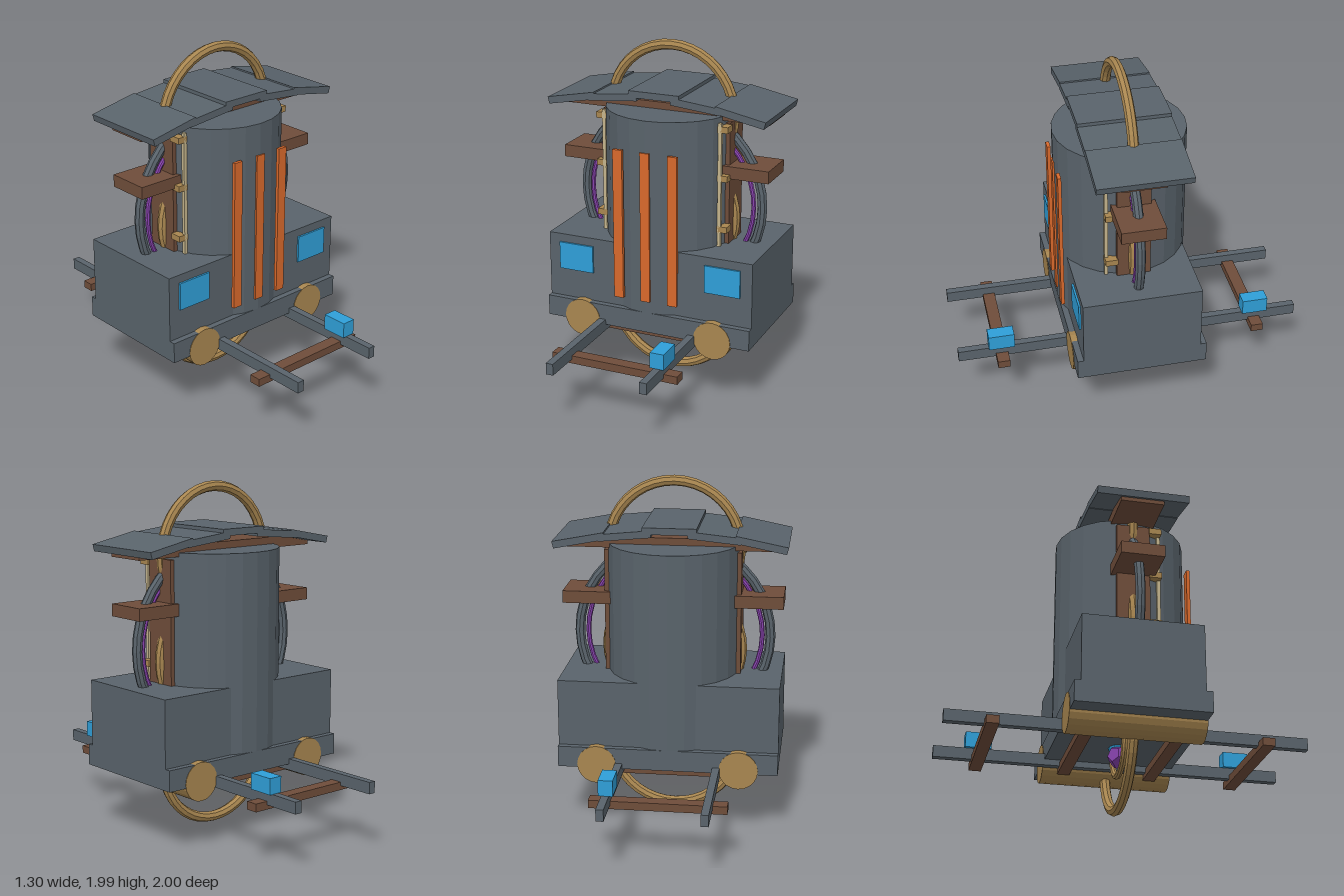
import * as THREE from 'three';

const material = (color) => new THREE.MeshStandardMaterial({ color, flatShading: true });

export function createModel() {
  const model = new THREE.Group();
  const grey = material(0x59636b), tan = material(0xa88650), brown = material(0x6f4d3a);
  const orange = material(0xd9692c), blue = material(0x2f9fd8), purple = material(0x8a44b0);
  const beige = material(0xc4b48c);

  const add = (name, geometry, mat, x = 0, y = 0, z = 0) => {
    const mesh = new THREE.Mesh(geometry, mat);
    mesh.name = name;
    mesh.position.set(x, y, z);
    model.add(mesh);
    return mesh;
  };
  const box = (name, mat, w, h, d, x, y, z) =>
    add(name, new THREE.BoxGeometry(w, h, d), mat, x, y, z);
  const ring = (name, mat, radius, tube, y, z = 0) =>
    add(name, new THREE.TorusGeometry(radius, tube, 8, 40), mat, 0, y, z);

  // Body: plinth, main block and drum
  box('plinth', grey, 1.24, 0.12, 0.74, 0, 0.44, 0);
  box('mainBlock', grey, 1.24, 0.38, 0.67, 0, 0.69, 0);
  add('drum', new THREE.CylinderGeometry(0.373, 0.373, 1.12, 24), grey, 0, 1.06, 0);

  // Front trim on the drum
  for (const x of [-0.163, 0, 0.163]) box('frontStrip', orange, 0.056, 0.87, 0.02, x, 1.005, 0.37);

  // Rings standing in the middle plane
  ring('topRing', tan, 0.37, 0.03, 1.59);
  ring('middleRing', tan, 0.385, 0.03, 1.0);
  ring('bottomRing', tan, 0.37, 0.03, 0.405);
  ring('smallRing', tan, 0.155, 0.018, 0.38);
  ring('sideRing', grey, 0.547, 0.028, 1.08);
  ring('innerSideRing', purple, 0.5, 0.014, 1.08, 0.012);

  // Mirrored side parts
  for (const s of [-1, 1]) {
    box('window', blue, 0.21, 0.16, 0.02, s * 0.447, 0.752, 0.336);
    box('sidePanel', brown, 0.03, 0.72, 0.19, s * 0.37, 1.22, 0);
    box('sideShelf', brown, 0.28, 0.07, 0.245, s * 0.482, 1.306, 0);
    box('sideRod', beige, 0.02, 0.74, 0.02, s * 0.35, 1.22, 0.15);
    for (const y of [0.98, 1.277, 1.555]) box('bracket', tan, 0.06, 0.035, 0.07, s * 0.367, y, 0.125);

    const log = add('log', new THREE.CylinderGeometry(0.11, 0.11, 0.746, 20), tan, s * 0.4, 0.4, 0);
    log.rotation.x = Math.PI / 2;

    box('rail', grey, 0.042, 0.066, 2, s * 0.275, 0.378, 0);
    box('railBlock', blue, 0.08, 0.09, 0.148, 0.273, 0.455, s * 0.75);
  }

  // Sleepers below the rails
  for (const z of [-0.75, -0.25, 0.25, 0.75]) box('sleeper', brown, 0.75, 0.045, 0.07, 0, 0.343, z);

  // Roof of five overlapping plates on a beam
  const roofPlate = (name, points) => {
    const shape = new THREE.Shape(points.map(([x, y]) => new THREE.Vector2(x, y)));
    const geometry = new THREE.ExtrudeGeometry(shape, { depth: 0.52, bevelEnabled: false });
    add(name, geometry, grey, 0, 0, -0.26);
  };
  roofPlate('roofCentre', [[-0.15, 1.707], [0.15, 1.707], [0.15, 1.745], [-0.15, 1.745]]);
  for (const s of [-1, 1]) {
    roofPlate('roofMiddle', [[0.1, 1.69], [0.39, 1.662], [0.4, 1.7], [0.1, 1.73]].map(([x, y]) => [s * x, y]));
    roofPlate('roofOuter', [[0.355, 1.672], [0.638, 1.617], [0.648, 1.656], [0.362, 1.712]].map(([x, y]) => [s * x, y]));
  }
  box('roofBeam', brown, 1.24, 0.062, 0.245, 0, 1.629, 0);

  // Hanging core under the plinth
  add('coreCap', new THREE.SphereGeometry(0.06, 10, 8), blue, 0, 0.395, 0);
  const core = add('core', new THREE.DodecahedronGeometry(0.07), purple, -0.03, 0.318, 0);
  core.rotation.set(0.3, 0.2, 0.4);

  return model;
}
